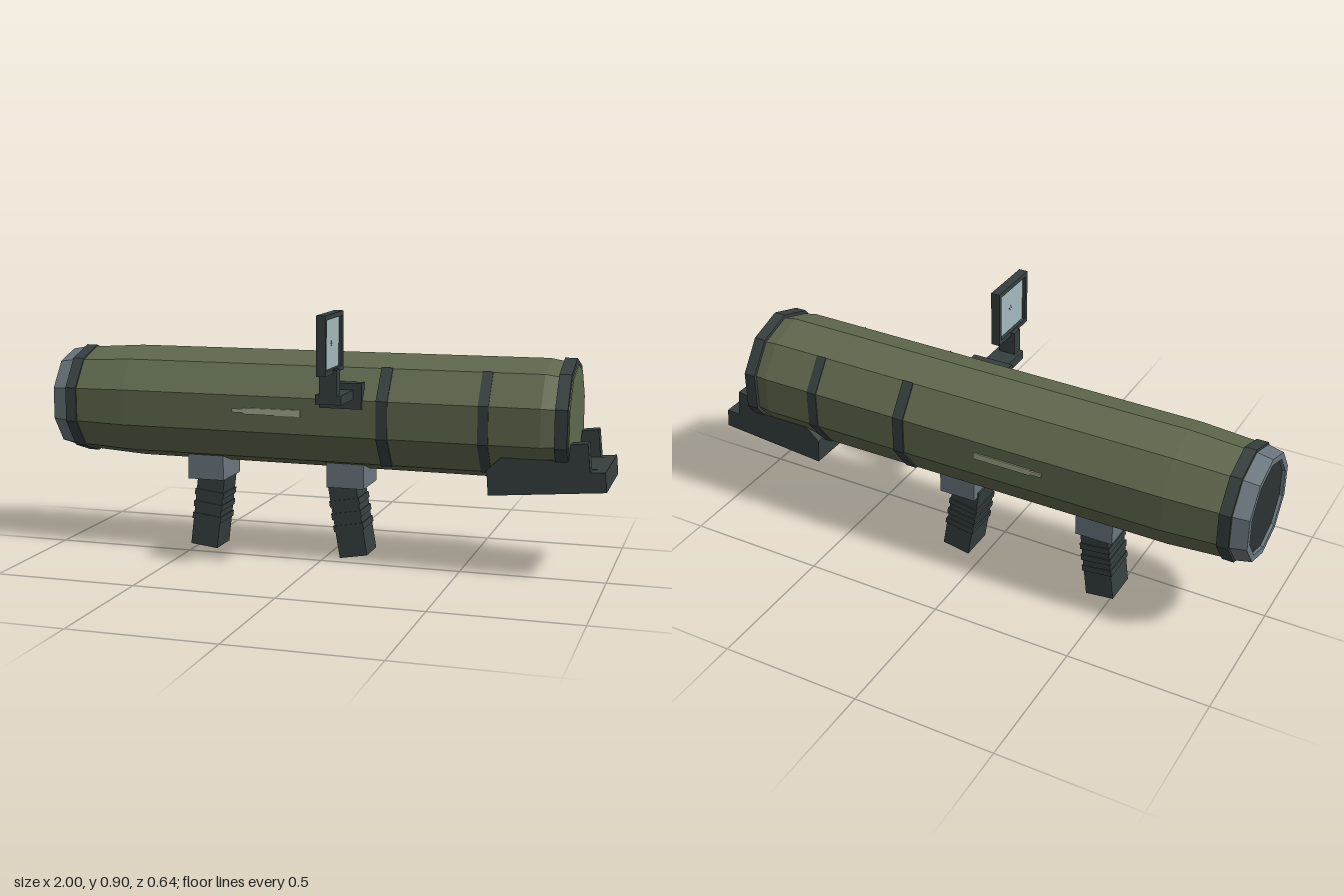
import * as THREE from 'three';

const mat = (name, color) => {
  const m = new THREE.MeshStandardMaterial({ color, flatShading: true });
  m.name = name;
  return m;
};

export function createModel() {
  const green = mat('olive green', 0x5f694d);
  const dark = mat('dark gunmetal', 0x363f3f);
  const steel = mat('blue grey steel', 0x6a767e);
  const black = mat('bore black', 0x2c3335);
  const glass = mat('sight glass', 0xa3babd);
  const pale = mat('pale marking', 0xa3a88c);

  const model = new THREE.Group();
  const AXIS_Y = 0.53, AXIS_Z = -0.115;

  const add = (name, geo, material, parent = model) => {
    const mesh = new THREE.Mesh(geo, material);
    mesh.name = name;
    parent.add(mesh);
    return mesh;
  };
  // Box given by its lower and upper limits on each axis
  const box = (name, material, [x0, x1], [y0, y1], [z0, z1], parent = model) => {
    const mesh = add(name, new THREE.BoxGeometry(x1 - x0, y1 - y0, z1 - z0), material, parent);
    mesh.position.set((x0 + x1) / 2, (y0 + y1) / 2, (z0 + z1) / 2);
    return mesh;
  };
  // Ten-sided turned part along x, from [x, radius] points; corner points up
  const turned = (name, material, points, first = 0, sides = 10) => {
    const step = Math.PI / 5;
    const geo = new THREE.LatheGeometry(
      points.map(([x, r]) => new THREE.Vector2(r, x)),
      sides, Math.PI / 2 + first * step, sides * step);
    geo.rotateZ(-Math.PI / 2);
    geo.translate(0, AXIS_Y, AXIS_Z);
    return add(name, geo, material);
  };
  const hoop = (x0, x1, r) => [[x0, 0.17], [x0, r], [x1, r], [x1, 0.17]];

  // Launch tube, muzzle and clamping rings
  turned('tube', green, [[-0.95, 0], [-0.95, 0.189], [-0.72, 0.204], [0.78, 0.21], [0.872, 0.193], [0.872, 0]]);
  turned('muzzleRim', steel, [[-0.985, 0.155], [-1, 0.157], [-1, 0.18], [-0.948, 0.19], [-0.948, 0.17]]);
  turned('muzzleBore', black, [[-0.99, 0], [-0.99, 0.16], [-0.96, 0.16]]);
  turned('frontRing', dark, hoop(-0.945, -0.905, 0.198));
  turned('rearRing', dark, hoop(0.826, 0.868, 0.213));

  // Side straps, leaving the top and bottom facets bare
  for (const [x0, x1] of [[0.22, 0.26], [0.57, 0.606]])
    for (const first of [1, 6])
      turned('sideStrap', dark, hoop(x0, x1, 0.2125), first, 3);

  // Pale marking plates on both sides
  for (const s of [1, -1]) {
    const z = AXIS_Z + s * 0.197;
    const depth = [z - 0.004, z + 0.004];
    box('markingPlate', pale, [-0.26, -0.05], [0.529, 0.551], depth);
    box('markingTip', pale, [-0.3, -0.26], [0.534, 0.547], depth);
  }

  // Tilted shoulder rest: slab with a stepped cheek on each side
  const extrude = (name, pts, z0, z1) => {
    const shape = new THREE.Shape(pts.map(([x, y]) => new THREE.Vector2(x, y)));
    const geo = new THREE.ExtrudeGeometry(shape, { depth: z1 - z0, bevelEnabled: false });
    geo.translate(0, 0, z0);
    add(name, geo, dark);
  };
  extrude('restSlab', [[0.603, 0.288], [0.998, 0.322], [0.992, 0.389], [0.597, 0.375]], -0.23, 0);
  const cheek = [[0.603, 0.288], [0.998, 0.322], [0.992, 0.389], [0.942, 0.386], [0.932, 0.483],
    [0.875, 0.476], [0.87, 0.42], [0.645, 0.42], [0.597, 0.375]];
  extrude('restCheek', cheek, 0, 0.053);
  extrude('restCheek', cheek, -0.283, -0.23);

  // Two raked grips under steel mounts
  for (const [x0, x1, topX, tilt] of [[-0.512, -0.377, -0.433, -0.12], [0.012, 0.147, 0.06, 0.17]]) {
    box('gripMount', steel, [x0, x1], [0.263, 0.36], [-0.202, -0.028]);
    const grip = new THREE.Group();
    grip.name = 'grip';
    grip.position.set(topX, 0.27, AXIS_Z);
    grip.rotation.z = tilt;
    model.add(grip);
    box('gripHandle', dark, [-0.051, 0.051], [-0.262, 0.02], [-0.0625, 0.0625], grip);
    for (const y of [-0.065, -0.11, -0.155])
      box('gripRidge', dark, [-0.055, 0.055], [y - 0.011, y + 0.011], [-0.0665, 0.0665], grip);
  }

  // Sight bracket, arm and stem
  box('sightMount', dark, [0.022, 0.172], [0.566, 0.655], [0.053, 0.094]);
  box('sightArm', dark, [0.053, 0.143], [0.6, 0.632], [0.09, 0.235]);
  box('sightStem', dark, [0.067, 0.127], [0.615, 0.717], [0.195, 0.235]);

  // Sight frame and glass
  const fx = [0.082, 0.114];
  box('sightFrameBottom', dark, fx, [0.704, 0.72], [0.112, 0.318]);
  box('sightFrameTop', dark, fx, [0.887, 0.903], [0.112, 0.318]);
  box('sightFrameSide', dark, fx, [0.72, 0.887], [0.112, 0.127]);
  box('sightFrameSide', dark, fx, [0.72, 0.887], [0.303, 0.318]);
  box('sightGlass', glass, [0.094, 0.102], [0.72, 0.887], [0.127, 0.303]);

  // Crosshair: a dot and four dashes on both faces of the glass
  const cy = 0.803, cz = 0.215, hx = [0.093, 0.103];
  const dash = (dy, dz, hy, hz) =>
    box('crosshair', black, hx, [cy + dy - hy, cy + dy + hy], [cz + dz - hz, cz + dz + hz]);
  dash(0, 0, 0.0015, 0.0015);
  for (const s of [1, -1]) {
    dash(s * 0.007, 0, 0.0025, 0.0015);
    dash(0, s * 0.007, 0.0015, 0.0025);
  }
  return model;
}
